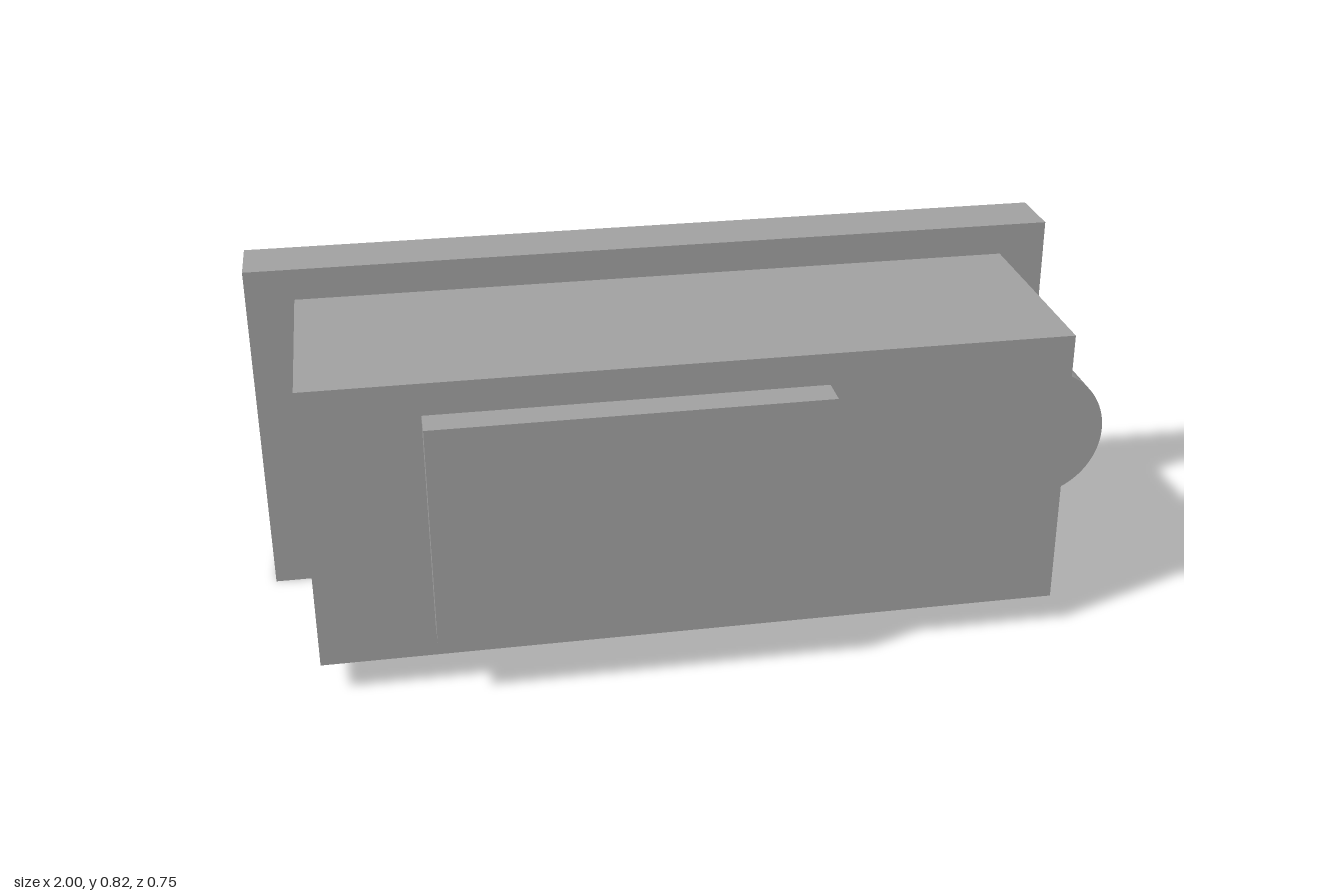
import * as THREE from 'three';

export function createModel() {
  const group = new THREE.Group();
  const grey = new THREE.MeshStandardMaterial({ color: 0xa0a0a0 });
  grey.name = 'grey';

  // Box given by its extents along each axis
  const addBox = (name, [x0, x1], [y0, y1], [z0, z1]) => {
    const mesh = new THREE.Mesh(new THREE.BoxGeometry(x1 - x0, y1 - y0, z1 - z0), grey);
    mesh.position.set((x0 + x1) / 2, (y0 + y1) / 2, (z0 + z1) / 2);
    mesh.name = name;
    group.add(mesh);
  };

  addBox('backPlate', [-1, 0.943], [0, 0.825], [-0.375, -0.225]);
  addBox('body', [-0.888, 0.831], [0.075, 0.75], [-0.225, 0.3]);
  addBox('frontPanel', [-0.626, 0.27], [0.152, 0.675], [0.3, 0.375]);

  // Half-round knob on the side, its flat side against the body
  const radius = 0.165;
  const profile = new THREE.Shape();
  profile.moveTo(-0.004, -radius);
  profile.lineTo(0, -radius);
  profile.absarc(0, 0, radius, -Math.PI / 2, Math.PI / 2, false);
  profile.lineTo(-0.004, radius);
  profile.closePath();
  const depth = 0.188;
  const knobGeometry = new THREE.ExtrudeGeometry(profile, { depth, bevelEnabled: false, curveSegments: 32 });

  // Smooth normals around the curved wall
  const pos = knobGeometry.attributes.position;
  const normal = knobGeometry.attributes.normal;
  for (let i = 0; i < pos.count; i++) {
    if (Math.abs(normal.getZ(i)) < 0.5 && normal.getX(i) > 0.01) {
      normal.setXYZ(i, pos.getX(i) / radius, pos.getY(i) / radius, 0);
    }
  }
  const knob = new THREE.Mesh(knobGeometry, grey);
  knob.position.set(0.835, 0.413, -0.075);
  knob.name = 'sideKnob';
  group.add(knob);

  return group;
}
